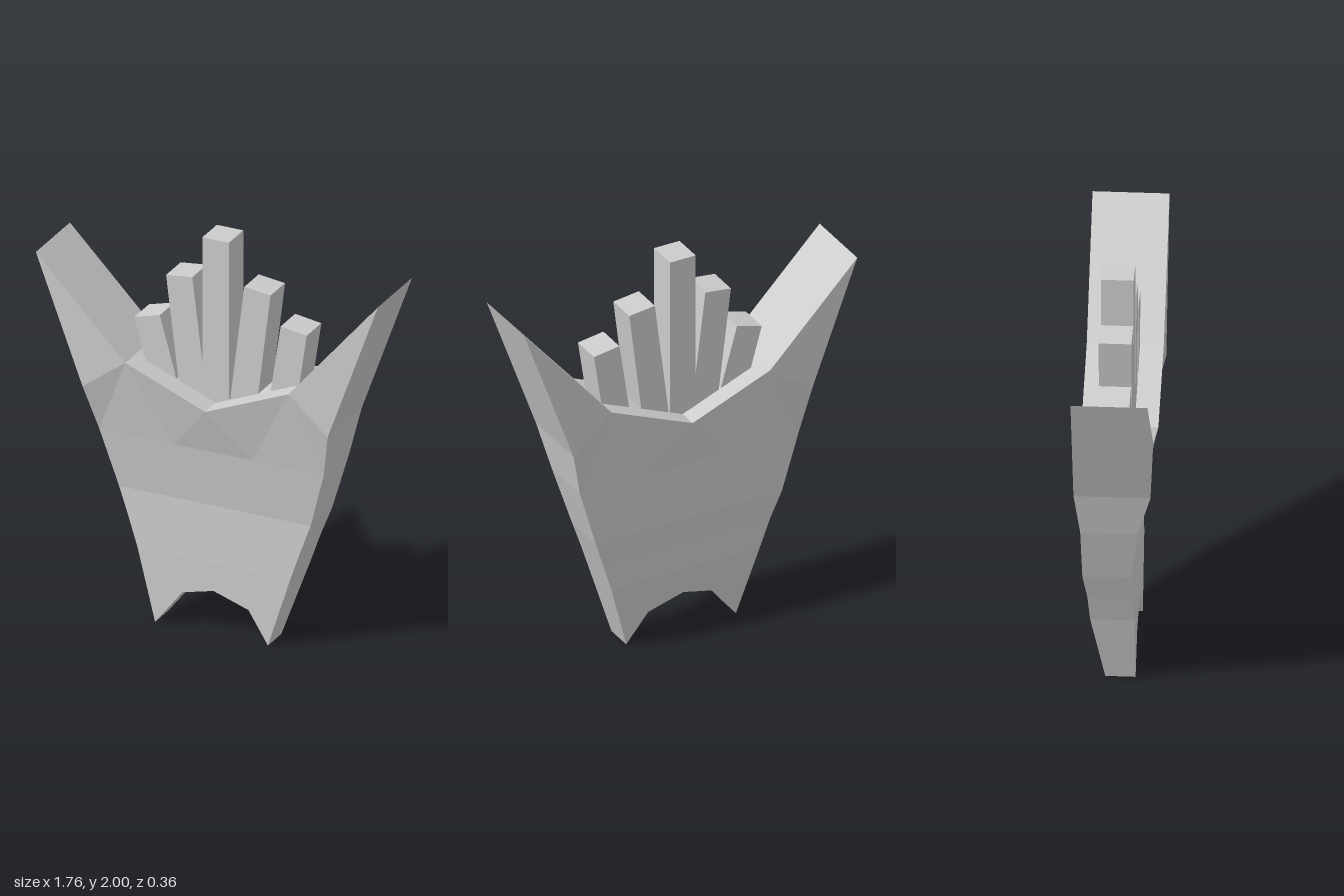
import * as THREE from 'three';

const material = new THREE.MeshStandardMaterial({ color: 0xcccccc, flatShading: true });

// Palm outline rows, bottom to top, five points each as [x, y]
const row = (y, left, inner, right) => [[left, y], [-inner, y], [-0.01, y], [inner, y], [right, y]];
const ROWS = [
  [[-0.31, 0], [-0.17, 0.18], [-0.01, 0.22], [0.17, 0.16], [0.27, 0]],
  row(0.36, -0.4, 0.19, 0.385),
  row(0.51, -0.45, 0.2, 0.435),
  row(0.65, -0.5, 0.2, 0.485),
  row(0.94, -0.585, 0.2, 0.57),
  [[-0.64, 1.17], [-0.42, 1.335], [-0.01, 1.17], [0.42, 1.35], [0.62, 1.17]],
];
const COLS = 5;

// Thickness by height: [y, front z, back z]
const DEPTH = [
  [0, 0.09, -0.05], [0.36, 0.09, -0.115], [0.51, 0.085, -0.125],
  [0.65, 0.08, -0.145], [0.94, 0.115, -0.15], [1.17, 0.178, -0.178], [3, 0.178, -0.178],
];
function depthAt(y) {
  const i = Math.max(1, DEPTH.findIndex((d) => d[0] >= y));
  const [a, b] = [DEPTH[i - 1], DEPTH[i]];
  const t = (y - a[0]) / (b[0] - a[0]);
  return [1, 2].map((k) => THREE.MathUtils.lerp(a[k], b[k], t));
}

// Slab with a front sheet, a back sheet and walls round the outline
function palmGeometry() {
  const points = [...ROWS.flat(), [-0.88, 1.805], [0.88, 1.89]];
  const n = points.length;
  const [leftTip, rightTip] = [n - 2, n - 1];
  const top = (ROWS.length - 1) * COLS;

  const sheet = [];
  for (let r = 0; r < ROWS.length - 1; r++) {
    for (let c = 0; c < COLS - 1; c++) {
      const a = r * COLS + c, b = a + 1, d = b + COLS, e = a + COLS;
      if (c < 2) sheet.push([a, b, d], [a, d, e]);
      else sheet.push([a, b, e], [b, d, e]);
    }
  }
  // Spread outer points
  sheet.push([top, top + 1, leftTip], [top + 3, top + 4, rightTip]);

  // Outline, counterclockwise from the front
  const loop = [0, 1, 2, 3];
  for (let r = 0; r < ROWS.length; r++) loop.push(r * COLS + COLS - 1);
  loop.push(rightTip, top + 3, top + 2, top + 1, leftTip);
  for (let r = ROWS.length - 1; r > 0; r--) loop.push(r * COLS);

  const index = [];
  for (const [a, b, c] of sheet) index.push(a, b, c, c + n, b + n, a + n);
  loop.forEach((a, i) => {
    const b = loop[(i + 1) % loop.length];
    index.push(a, a + n, b + n, a, b + n, b);
  });

  const front = points.flatMap(([x, y]) => [x, y, depthAt(y)[0]]);
  const back = points.flatMap(([x, y]) => [x, y, depthAt(y)[1]]);
  const indexed = new THREE.BufferGeometry();
  indexed.setAttribute('position', new THREE.Float32BufferAttribute([...front, ...back], 3));
  indexed.setIndex(index);
  const geometry = indexed.toNonIndexed();
  geometry.computeVertexNormals();
  return geometry;
}

// Fingers: [name, x and y of the tip centre, lean in degrees]
const FINGERS = [
  ['outerLeaningFingerRight', -0.362, 1.54, 15.5],
  ['innerFingerRight', -0.197, 1.778, 7],
  ['middleFinger', -0.01, 2, 0],
  ['innerFingerLeft', 0.205, 1.784, -7],
  ['outerLeaningFingerLeft', 0.392, 1.62, -8.5],
];

export function createModel() {
  const model = new THREE.Group();
  model.name = 'openHand';

  const palm = new THREE.Mesh(palmGeometry(), material);
  palm.name = 'palm';
  model.add(palm);

  // Square fingers rooted inside the palm
  for (const [name, x, y, lean] of FINGERS) {
    const length = y - 1.02;
    const geometry = new THREE.BoxGeometry(0.136, length, 0.152).translate(0, -length / 2, 0);
    const finger = new THREE.Mesh(geometry, material);
    finger.name = name;
    finger.position.set(x, y, -0.008);
    finger.rotation.z = THREE.MathUtils.degToRad(lean);
    model.add(finger);
  }
  return model;
}
